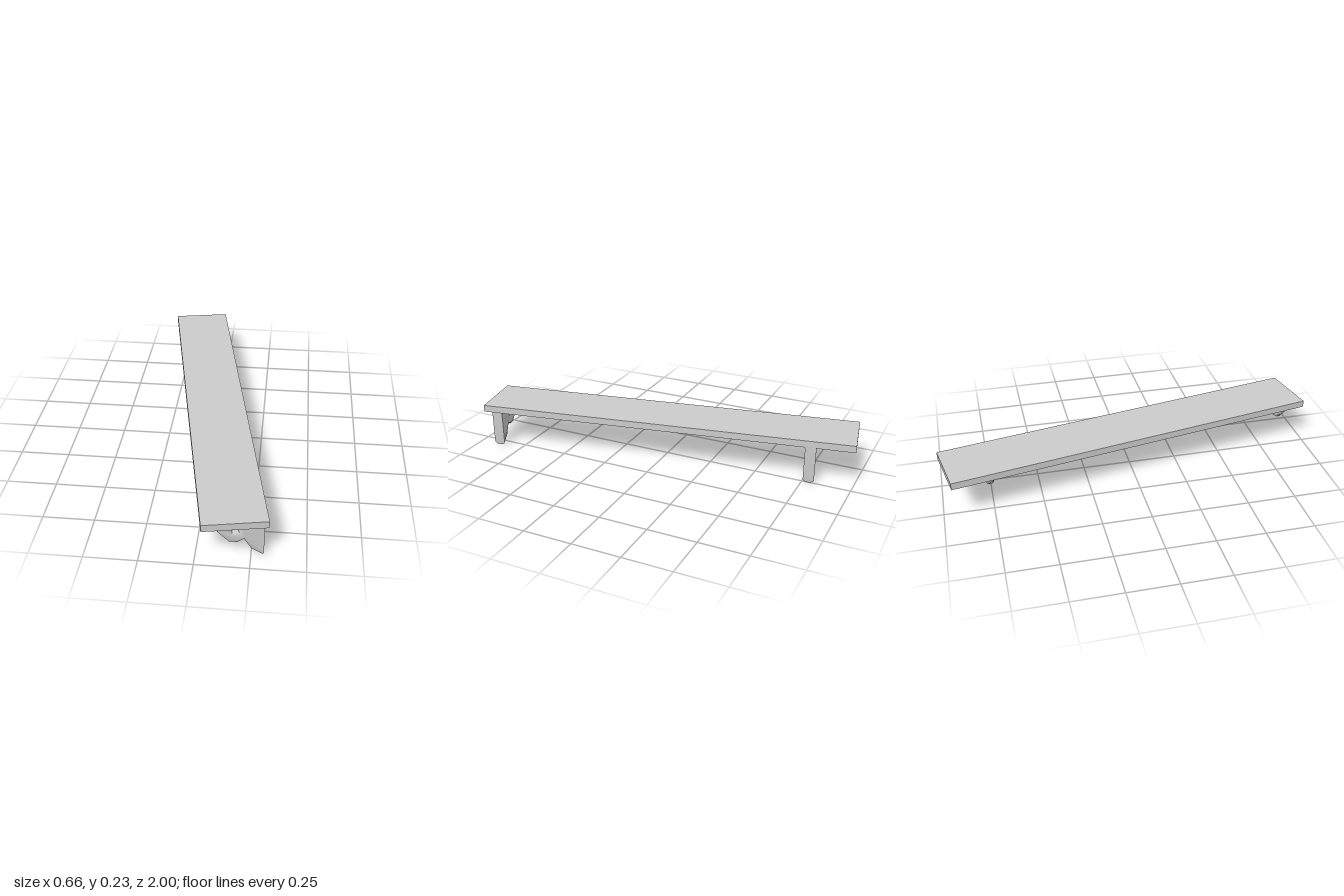
import * as THREE from 'three';
import { toCreasedNormals } from 'three/addons/utils/BufferGeometryUtils.js';

const ANGLE = 0.1842;      // the shelf stands slightly turned about y
const UNDERSIDE = 0.195;   // height of the board's lower face
const TOP = 0.231;

// Bracket outline in its own plane: x = 0 is the wall edge, -x points outwards
const OUTLINE = [
  [0, UNDERSIDE], [-0.237, UNDERSIDE], [-0.205, 0.175], [-0.212, 0.143],
  [-0.158, 0.08], [-0.12, 0.075], [-0.091, 0.092], [-0.058, 0.035],
  [-0.002, 0], [0, 0.02],
];
const HOLE = [[-0.149, 0.153], [-0.129, 0.172], [-0.109, 0.158], [-0.113, 0.133], [-0.142, 0.131]];
const points = (list) => list.map(([x, y]) => new THREE.Vector2(x, y));

function bracketGeometry() {
  const shape = new THREE.Shape(points(OUTLINE));
  shape.holes.push(new THREE.Path(points(HOLE)));
  const bevel = 0.011;
  const geo = new THREE.ExtrudeGeometry(shape, {
    depth: 0.016, bevelEnabled: true, bevelThickness: 0.012,
    bevelSize: bevel, bevelOffset: -bevel, bevelSegments: 2,
  });
  geo.translate(0, 0, -0.008);

  // Flat wall edge and top, thick at the wall, slimmer towards the curled end
  const pos = geo.attributes.position;
  for (let i = 0; i < pos.count; i++) {
    let x = pos.getX(i), y = pos.getY(i);
    if (x > -bevel * 1.3 && y > 0.012) x = 0;
    if (y > UNDERSIDE - bevel * 1.2) y = UNDERSIDE;
    const t = THREE.MathUtils.clamp(-x / 0.1, 0, 1);
    pos.setXYZ(i, x, y, pos.getZ(i) * THREE.MathUtils.lerp(1.4, 0.95, t));
  }
  geo.deleteAttribute('uv');
  return toCreasedNormals(geo, 0.9);
}

export function createModel() {
  const model = new THREE.Group();
  model.name = 'wallShelf';
  const material = new THREE.MeshStandardMaterial({ color: 0xcccccc });

  // Board
  const board = new THREE.Mesh(new THREE.BoxGeometry(0.3, TOP - UNDERSIDE, 1.981), material);
  board.name = 'board';
  board.position.y = (TOP + UNDERSIDE) / 2;
  board.rotation.y = ANGLE;
  model.add(board);

  // Two matching brackets below the board
  const geo = bracketGeometry();
  for (const [name, x, z] of [['frontBracket', 0.303, 0.882], ['backBracket', 0.003, -0.784]]) {
    const bracket = new THREE.Mesh(geo, material);
    bracket.name = name;
    bracket.position.set(x, 0, z);
    bracket.rotation.y = ANGLE;
    model.add(bracket);
  }
  return model;
}
